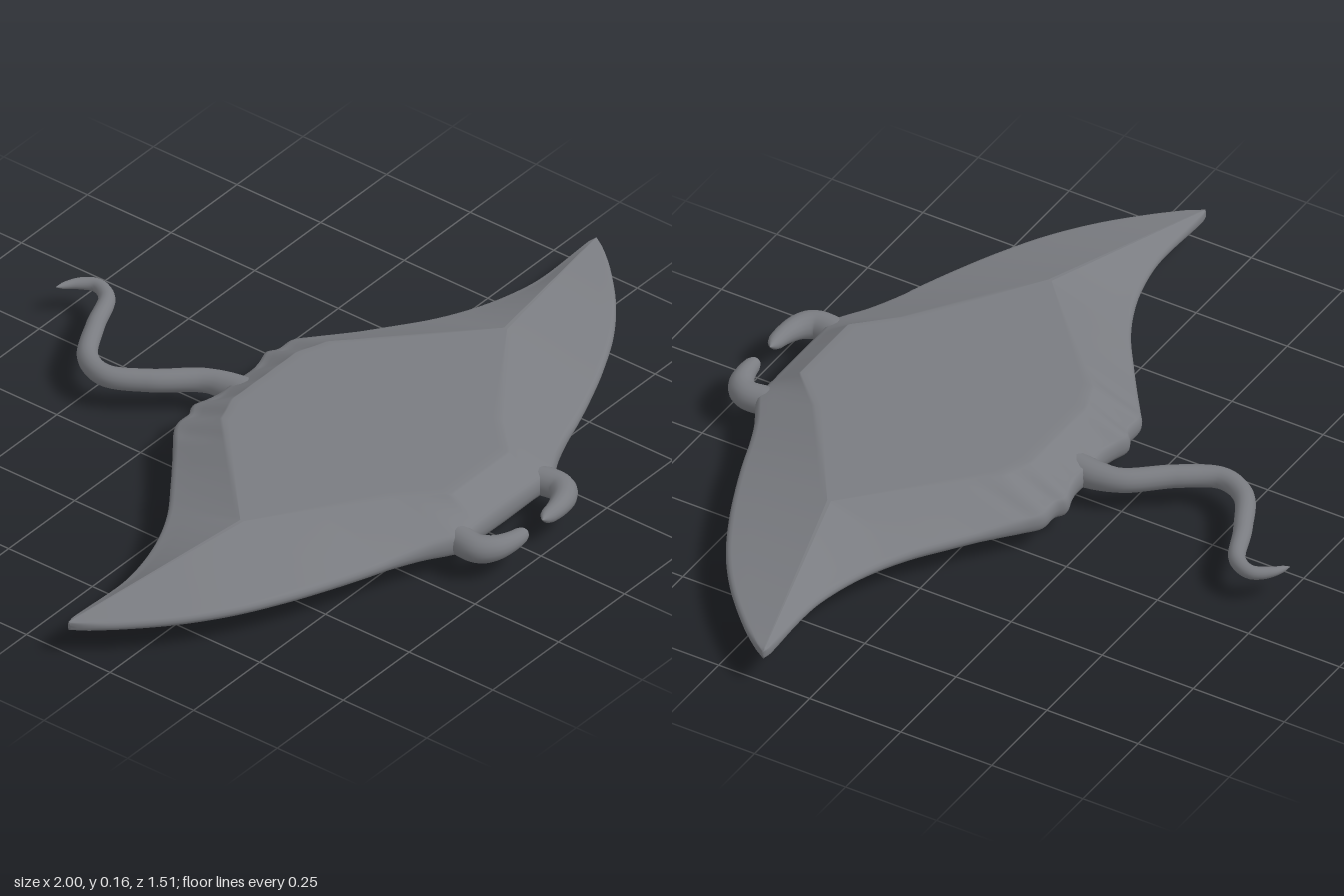
import * as THREE from 'three';

const MID = 0.08; // height of the flat middle plane

// Smooth interpolation through [x, value] pairs
function smooth(pts, x) {
  let i = 0;
  while (i < pts.length - 2 && x > pts[i + 1][0]) i++;
  const slope = (j) => {
    const a = pts[Math.max(j - 1, 0)], b = pts[Math.min(j + 1, pts.length - 1)];
    return (b[1] - a[1]) / (b[0] - a[0]);
  };
  const [x0, y0] = pts[i], [x1, y1] = pts[i + 1];
  const w = x1 - x0, t = THREE.MathUtils.clamp((x - x0) / w, 0, 1), t2 = t * t, t3 = t2 * t;
  return (2 * t3 - 3 * t2 + 1) * y0 + (t3 - 2 * t2 + t) * w * slope(i)
    + (3 * t2 - 2 * t3) * y1 + (t3 - t2) * w * slope(i + 1);
}

function linear(pts, x) {
  let i = 0;
  while (i < pts.length - 2 && x > pts[i + 1][0]) i++;
  return THREE.MathUtils.mapLinear(x, pts[i][0], pts[i + 1][0], pts[i][1], pts[i + 1][1]);
}

// Half outlines, mirrored by |x|
const FRONT = [[0, 0.65], [0.1, 0.65], [0.17, 0.65], [0.2, 0.635], [0.25, 0.607], [0.32, 0.578], [0.4, 0.55],
  [0.5, 0.51], [0.6, 0.465], [0.72, 0.4], [0.83, 0.32], [0.93, 0.225], [0.98, 0.165], [1, 0.132]];
const BACK = [[0, -0.17], [0.06, -0.168], [0.1, -0.176], [0.14, -0.188], [0.165, -0.174], [0.22, -0.172],
  [0.26, -0.145], [0.32, -0.1], [0.4, -0.042], [0.5, 0.027], [0.6, 0.076], [0.7, 0.107], [0.8, 0.122], [0.98, 0.12], [1, 0.125]];
// Raised flat area, closing to a ridge on the wings
const FLAT_FRONT = [[0, 0.565], [0.11, 0.565], [0.2, 0.47], [0.5, 0.255], [1, 0.128]];
const FLAT_BACK = [[0, -0.075], [0.12, -0.075], [0.2, -0.045], [0.5, 0.245], [1, 0.126]];

// Upper half of one cross-section, from the front edge to the back edge
function section(x) {
  const a = Math.abs(x);
  const zf = smooth(FRONT, a), zb = smooth(BACK, a);
  const pf = linear(FLAT_FRONT, a), pb = linear(FLAT_BACK, a);
  const H = a < 0.5 ? 0.08 : linear([[0.5, 0.08], [1, 0.012]], a);
  const edge = Math.min(H * 0.8, linear([[0, 0.032], [0.2, 0.028], [0.35, 0.017], [1, 0.012]], a));
  const ripple = 0.22 * (0.5 + 0.5 * Math.cos(a * 2 * Math.PI / 0.085)) * THREE.MathUtils.smoothstep(0.29 - a, 0, 0.06);
  const slopeSide = (zEdge, zTop, rip) => {
    const inset = Math.min(0.016, Math.abs(zTop - zEdge) * 0.25) * Math.sign(zTop - zEdge);
    const pts = [[zEdge, 0], [zEdge + inset * 0.15, edge * 0.5], [zEdge + inset * 0.5, edge * 0.86]];
    for (const t of [0, 0.25, 0.5, 0.75, 0.93, 1]) {
      const h = THREE.MathUtils.lerp(edge, H, t);
      pts.push([THREE.MathUtils.lerp(zEdge + inset, zTop, t), h * (1 - rip * (1 - t))]);
    }
    return pts;
  };
  const flat = [0.04, 0.35, 0.65, 0.96].map((t) => [THREE.MathUtils.lerp(pf, pb, t), H]);
  return [...slopeSide(zf, pf, 0), ...flat, ...slopeSide(zb, pb, ripple).reverse()];
}

// Body and wings: closed cross-sections joined along the span
function bodyGeometry() {
  const N = 240, pos = [], index = [];
  let K = 0;
  for (let i = 0; i <= N; i++) {
    const x = -1 + 2 * i / N, top = section(x);
    const loop = [...top, ...top.slice(1, -1).reverse().map(([z, h]) => [z, -h])];
    K = loop.length;
    for (const [z, h] of loop) pos.push(x, MID + h, z);
  }
  for (let i = 0; i < N; i++) {
    for (let k = 0; k < K; k++) {
      const a = i * K + k, b = i * K + (k + 1) % K;
      index.push(a, a + K, b, b, a + K, b + K);
    }
  }
  // Close the wing tips
  for (let k = 1; k < K - 1; k++) {
    index.push(0, k, k + 1);
    index.push(N * K, N * K + k + 1, N * K + k);
  }
  const g = new THREE.BufferGeometry();
  g.setAttribute('position', new THREE.Float32BufferAttribute(pos, 3));
  g.setIndex(index);
  g.computeVertexNormals();
  return g;
}

// Tube through [x, z] points whose radius follows a profile and closes at the tip
function taperedTube(points, radii, segments) {
  const curve = new THREE.CatmullRomCurve3(points.map(([x, z]) => new THREE.Vector3(x, MID, z)));
  const g = new THREE.TubeGeometry(curve, segments, 0.01, 16);
  const { position: p, normal: n, uv } = g.attributes;
  for (let i = 0; i < p.count; i++) {
    const d = linear(radii, uv.getX(i)) - 0.01;
    p.setXYZ(i, p.getX(i) + n.getX(i) * d, p.getY(i) + n.getY(i) * d, p.getZ(i) + n.getZ(i) * d);
  }
  return g;
}

export function createModel() {
  const group = new THREE.Group();
  const skin = new THREE.MeshStandardMaterial({ color: 0x7a7c81 });
  skin.name = 'grey skin';
  const add = (name, geometry) => {
    const mesh = new THREE.Mesh(geometry, skin);
    mesh.name = name;
    group.add(mesh);
  };

  add('body', bodyGeometry());

  // Curled horn fins beside the mouth
  for (const [name, s] of [['leftHornFin', 1], ['rightHornFin', -1]]) {
    const path = [[0.14, 0.58], [0.157, 0.64], [0.158, 0.685], [0.135, 0.712], [0.09, 0.728], [0.028, 0.732]];
    add(name, taperedTube(path.map(([x, z]) => [s * x, z]),
      [[0, 0.03], [0.25, 0.036], [0.5, 0.034], [0.75, 0.025], [0.9, 0.02], [0.96, 0.014], [1, 0.0005]], 40));
  }

  // Winding tail
  add('tail', taperedTube(
    [[0, -0.1], [0, -0.19], [-0.015, -0.245], [-0.095, -0.345], [-0.143, -0.44], [-0.113, -0.515],
      [0, -0.583], [0.11, -0.635], [0.134, -0.685], [0.11, -0.725], [0.068, -0.754]],
    [[0, 0.045], [0.08, 0.036], [0.15, 0.03], [0.5, 0.026], [0.8, 0.021], [0.93, 0.015], [0.98, 0.008], [1, 0.0005]], 110));

  return group;
}
